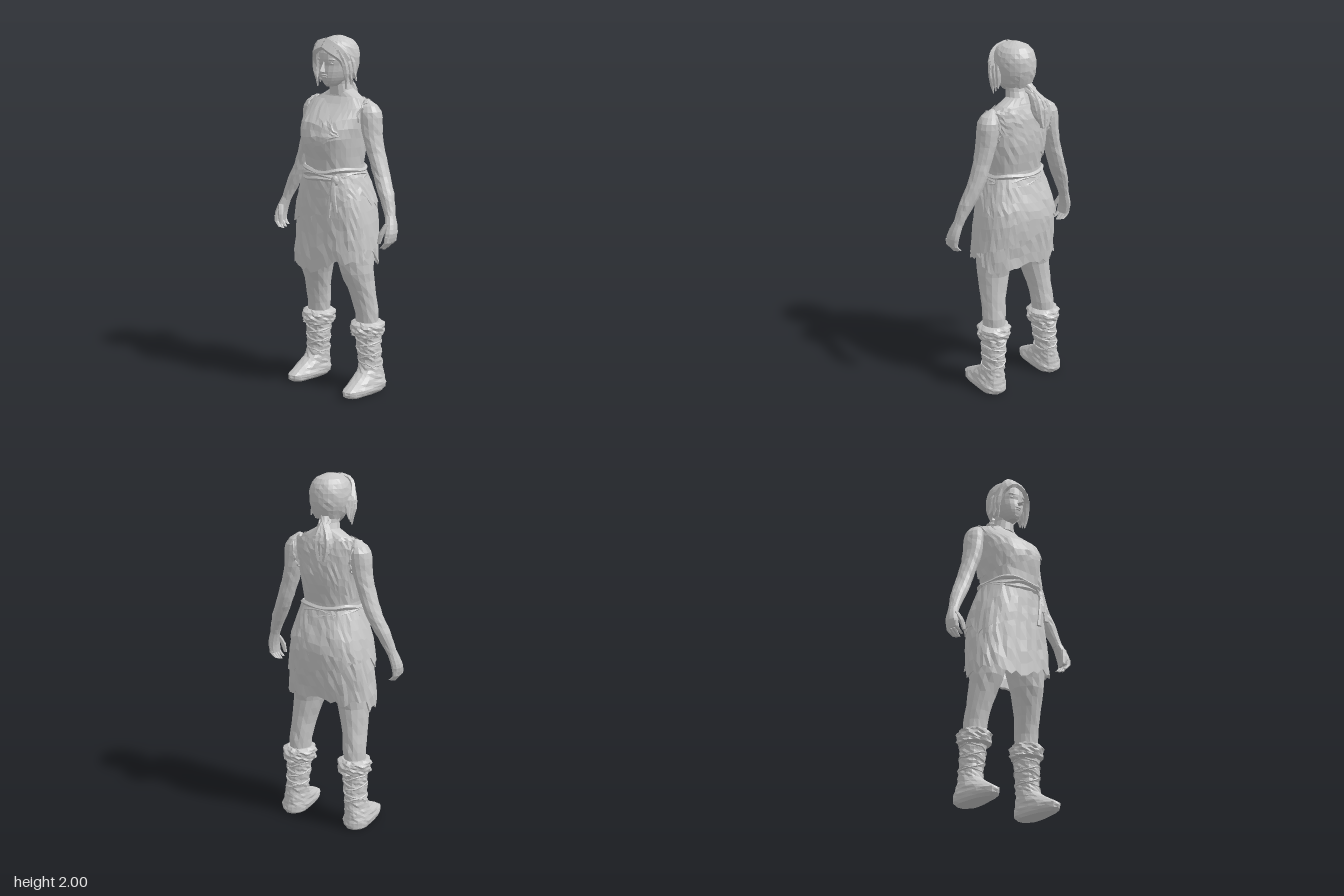
import * as THREE from 'three';

const grey = new THREE.MeshStandardMaterial({ color: 0xc6c6c6 });
grey.name = 'stone grey';
grey.side = THREE.DoubleSide;

// Repeatable noise in -1..1
const noise = (a, b = 0) => {
  const s = Math.sin(a * 127.1 + b * 311.7 + 4.3) * 43758.5453;
  return (s - Math.floor(s)) * 2 - 1;
};

// Cross-section at height y from rows [y, x, z, halfWidth, frontDepth, backDepth], listed top down
function sectionAt(rows, y) {
  let k = 0;
  while (k < rows.length - 2 && y < rows[k + 1][0]) k++;
  const a = rows[k], b = rows[k + 1];
  const t = THREE.MathUtils.clamp((a[0] - y) / (a[0] - b[0]), 0, 1);
  const at = (r, i) => r[i] ?? r[4] ?? r[3];
  return [1, 2, 3, 4, 5].map((i) => at(a, i) + (at(b, i) - at(a, i)) * t);
}

// Point on a body surface; angle 0 is the front, growing towards +x
function pointOn(rows, y, angle, offset = 0, power = 1) {
  const [x, z, w, f, b] = sectionAt(rows, y);
  const bend = (v) => Math.sign(v) * Math.abs(v) ** power;
  const s = bend(Math.sin(angle)), c = bend(Math.cos(angle));
  return new THREE.Vector3(x + (w + offset) * s, y, z + ((c > 0 ? f : b) + offset) * c);
}

// Faceted skin over the rows; top and bottom may be functions of the angle
function loft(name, rows, o = {}) {
  const { segs = 14, rings = 10, offset = 0, power = 1, rough = 0, from = 0, to = Math.PI * 2, cap = true, lip = 0 } = o;
  const topY = o.top ?? (() => rows[0][0]), botY = o.bottom ?? (() => rows[rows.length - 1][0]);
  const closed = to - from > 6.28, grid = [];
  for (let j = 0; j <= rings; j++) {
    const row = [];
    for (let i = 0; i <= segs; i++) {
      const n = closed ? i % segs : i;
      const angle = from + ((to - from) * n) / segs;
      const y = THREE.MathUtils.lerp(topY(angle, n), botY(angle, n), j / rings);
      row.push(pointOn(rows, y, angle, offset + rough * noise(n, j + rows.length), power));
    }
    grid.push(row);
  }
  const middle = (row) => {
    const m = new THREE.Vector3();
    row.slice(0, segs).forEach((p) => m.addScaledVector(p, 1 / segs));
    return row.map(() => m);
  };
  if (cap) { grid.unshift(middle(grid[0])); grid.push(middle(grid[grid.length - 1])); }
  // Torn hems turn inward for thickness
  if (lip) grid.push(grid[grid.length - 1].map((p) => new THREE.Vector3(p.x * (1 - lip), p.y + 0.008, p.z * (1 - lip))));
  const v = [];
  for (let j = 0; j < grid.length - 1; j++) for (let i = 0; i < segs; i++) {
    const a = grid[j][i], b = grid[j + 1][i], c = grid[j + 1][i + 1], d = grid[j][i + 1];
    for (const p of [a, b, c, a, c, d]) v.push(p.x, p.y, p.z);
  }
  const g = new THREE.BufferGeometry();
  g.setAttribute('position', new THREE.Float32BufferAttribute(v, 3));
  return part(name, g);
}

function part(name, geometry) {
  const g = geometry.index ? geometry.toNonIndexed() : geometry;
  g.computeVertexNormals();
  const mesh = new THREE.Mesh(g, grey);
  mesh.name = name;
  return mesh;
}

function tube(name, points, radius, closed = false, steps = 24) {
  return part(name, new THREE.TubeGeometry(new THREE.CatmullRomCurve3(points, closed), steps, radius, 5, closed));
}

function blob(name, pos, size) {
  const mesh = part(name, new THREE.IcosahedronGeometry(1, 1));
  mesh.position.set(...pos);
  mesh.scale.set(...size);
  return mesh;
}

const loop = (n, fn) => Array.from({ length: n }, (_, i) => fn((i / n) * Math.PI * 2, i));
const mirrored = (side, rows) => rows.map(([y, x, ...rest]) => [y, x * side, ...rest]);

const TORSO = [
  [1.71, 0, -0.045, 0.065, 0.055, 0.06], [1.685, 0, -0.045, 0.1, 0.06, 0.062], [1.655, 0, -0.04, 0.175, 0.07, 0.085],
  [1.6, 0, -0.02, 0.185, 0.11, 0.12], [1.54, 0, 0, 0.18, 0.155, 0.145], [1.47, 0, 0, 0.175, 0.188, 0.146],
  [1.42, 0, 0, 0.17, 0.186, 0.14], [1.34, 0, 0, 0.16, 0.165, 0.125], [1.27, 0, 0, 0.15, 0.16, 0.113], [1.18, 0, 0, 0.165, 0.155, 0.13],
];
const SKIRT = [
  [1.27, 0, 0, 0.155, 0.16, 0.118], [1.2, 0, 0, 0.181, 0.16, 0.143], [1.1, 0, 0, 0.214, 0.163, 0.175],
  [1.02, 0, 0, 0.229, 0.163, 0.182], [0.9, 0, 0, 0.246, 0.166, 0.168], [0.8, 0, 0, 0.259, 0.17, 0.15], [0.68, 0, 0, 0.261, 0.177, 0.145],
];

function addClothes(g) {
  g.add(loft('bodice', TORSO, {
    segs: 36, rings: 9, power: 0.88, rough: 0.003, offset: 0.004, cap: false,
    top: (a, n) => 1.668 - 0.05 * Math.max(0, Math.cos(a)) ** 8 + 0.005 * noise(n, 2),
    bottom: () => 1.2,
  }));
  // Wrapped upper layer: diagonal neck edge in front, torn edge sloping to the right side
  g.add(loft('crossWrap', TORSO, {
    segs: 44, rings: 7, power: 0.88, rough: 0.003, offset: 0.012, cap: false, lip: 0.05, from: -4.4, to: 0.8,
    top: (a, n) => 1.66 - 0.18 * Math.max(0, a + 0.2) + 0.005 * noise(n, 8),
    bottom: (a, n) => (Math.cos(a) > 0 ? 1.41 + 0.08 * Math.sin(a) : 1.45 + 0.12 * Math.sin(a)) + 0.01 * noise(n, 7),
  }));
  g.add(loft('underSkirt', SKIRT, {
    segs: 56, rings: 8, power: 0.8, rough: 0.005, cap: false, lip: 0.05,
    bottom: (a, n) => 0.755 + 0.05 * Math.sin(a) * (Math.cos(a) > -0.2) - 0.035 * Math.max(0, Math.cos(a)) ** 8
      + 0.014 * Math.sin(a * 5) + 0.02 * noise(n, 3),
  }));
  g.add(loft('middleSkirt', SKIRT, {
    segs: 30, rings: 6, power: 0.8, rough: 0.003, offset: 0.007, cap: false, lip: 0.04, from: 1.3, to: 4.4,
    bottom: (a, n) => 0.84 + 0.05 * (a - 1.3) + 0.012 * noise(n, 5),
  }));
  g.add(loft('overSkirt', SKIRT, {
    segs: 56, rings: 5, power: 0.8, rough: 0.004, offset: 0.014, cap: false, lip: 0.05,
    bottom: (a, n) => 1.04 + (Math.cos(a) > 0 ? 0.1 : 0.04) * Math.sin(a) + 0.016 * noise(n, 6),
  }));
  // Twisted rope belt, knot and hanging ends
  for (let k = 0; k < 3; k++) {
    g.add(tube('beltStrand', loop(20, (a, i) =>
      pointOn(TORSO, 1.235 + 0.023 * k + 0.008 * Math.sin(a * 4 + k * 2) + 0.003 * noise(i, k), a, 0.013, 0.88)), 0.014, true, 50));
  }
  g.add(blob('beltKnot', [0.115, 1.235, 0.15], [0.024, 0.03, 0.02]));
  [[0.085, 1.03], [0.14, 1.07], [0.12, 1.12]].forEach(([x, y]) => g.add(loft('beltEnd',
    [[1.24, 0.115, 0.158, 0.01], [(1.24 + y) / 2, (x + 0.11) / 2, 0.175, 0.014, 0.01], [y, x, 0.176, 0.016, 0.009]], { segs: 6, rings: 3 })));
}

function addHead(g) {
  g.add(loft('neck', [[1.8, 0, -0.015, 0.058], [1.74, 0, -0.03, 0.057], [1.68, 0, -0.045, 0.07]], { rings: 4 }));
  g.add(loft('face', [
    [1.96, 0, 0, 0.075, 0.085], [1.91, 0, 0, 0.085, 0.108], [1.87, 0, 0, 0.087, 0.11], [1.845, 0, 0, 0.085, 0.102], [1.81, 0, 0, 0.079, 0.106],
    [1.775, 0, 0.01, 0.064, 0.094, 0.08], [1.75, 0, 0.025, 0.046, 0.07], [1.73, 0, 0.04, 0.024, 0.04]], { segs: 20, rings: 14, power: 0.95 }));
  // Facial features
  const nose = part('nose', new THREE.ConeGeometry(0.02, 0.065, 4));
  nose.position.set(0, 1.842, 0.112);
  nose.rotation.x = -0.25;
  g.add(nose, blob('upperLip', [0, 1.793, 0.101], [0.023, 0.006, 0.01]), blob('lowerLip', [0, 1.782, 0.098], [0.019, 0.007, 0.01]));
  g.add(blob('chin', [0, 1.752, 0.08], [0.022, 0.018, 0.014]));
  for (const s of [-1, 1]) {
    g.add(blob('eye', [s * 0.036, 1.856, 0.088], [0.016, 0.008, 0.01]));
    const brow = blob('brow', [s * 0.038, 1.877, 0.093], [0.025, 0.008, 0.011]);
    brow.rotation.y = s * 0.3;
    g.add(brow, blob('ear', [s * 0.09, 1.835, -0.015], [0.014, 0.032, 0.02]));
    // Loose side locks
    for (let k = 0; k < 3; k++) {
      const z = 0.06 - k * 0.032;
      g.add(loft('sideLock', mirrored(s, [[1.93, 0.075, z + 0.015, 0.014, 0.02], [1.87, 0.104, z, 0.018, 0.022],
        [1.8, 0.109, z - 0.012, 0.014, 0.018], [1.72 + k * 0.02, 0.1 + k * 0.01, z - 0.02, 0.003]]), { segs: 6, rings: 5, rough: 0.002 }));
    }
    // Swept fringe in three overlapping bands, parted off centre
    for (let k = 0; k < 3; k++) g.add(tube('fringe',
      [[-0.012, 1.975 - k * 0.015, 0.068 + k * 0.014], [-0.012 + s * 0.05, 1.958 - k * 0.018, 0.078 + k * 0.012],
        [s * 0.088, 1.925 - k * 0.02, 0.066 + k * 0.004], [s * 0.106, 1.87 - k * 0.02, 0.03 + k * 0.008]]
        .map((p) => new THREE.Vector3(...p)), 0.017, false, 7));
  }
  g.add(loft('hair', [
    [2, 0, -0.015, 0.02], [1.99, 0, -0.015, 0.055, 0.06], [1.97, 0, -0.015, 0.084, 0.098], [1.94, 0, -0.015, 0.102, 0.12, 0.116],
    [1.9, 0, -0.015, 0.111, 0.13, 0.125], [1.85, 0, -0.015, 0.111, 0.12, 0.125], [1.8, 0, -0.015, 0.098, 0.1, 0.11], [1.75, 0, -0.03, 0.066, 0.07, 0.075]],
  { segs: 26, rings: 10, rough: 0.002, bottom: (a, n) => 1.765 + 0.175 * Math.max(0, Math.cos(a) + 0.15) ** 1.2 / 1.18 + 0.006 * noise(n, 1), cap: false }));
  g.add(blob('hairCrown', [0, 1.975, -0.015], [0.06, 0.024, 0.065]));
  // Ponytail with its tie and strands
  const tie = part('ponytailTie', new THREE.TorusGeometry(0.026, 0.012, 5, 10));
  tie.position.set(-0.025, 1.752, -0.118);
  tie.rotation.x = 1.0;
  g.add(tie, loft('ponytail', [[1.785, -0.015, -0.1, 0.025], [1.75, -0.025, -0.12, 0.024], [1.72, -0.04, -0.148, 0.044, 0.036],
    [1.66, -0.052, -0.166, 0.054, 0.04], [1.61, -0.055, -0.176, 0.046, 0.034], [1.55, -0.055, -0.193, 0.008]], { segs: 12, rings: 9, rough: 0.004 }));
  for (let k = -1; k <= 1; k++) g.add(tube('ponytailStrand',
    [[-0.025, 1.75, -0.135], [-0.05 + k * 0.028, 1.69, -0.186], [-0.055 + k * 0.03, 1.62, -0.198], [-0.055 + k * 0.015, 1.56, -0.198]]
      .map((p) => new THREE.Vector3(...p)), 0.013, false, 8));
}

function addArm(g, s) {
  g.add(loft('arm', mirrored(s, [
    [1.662, 0.178, -0.045, 0.012], [1.645, 0.19, -0.045, 0.036, 0.04], [1.61, 0.202, -0.045, 0.056, 0.062], [1.56, 0.205, -0.045, 0.063, 0.068],
    [1.48, 0.218, -0.042, 0.052, 0.064], [1.4, 0.239, -0.042, 0.047, 0.058], [1.3, 0.273, -0.042, 0.046, 0.052], [1.24, 0.296, -0.036, 0.046, 0.05],
    [1.16, 0.335, -0.021, 0.043, 0.045], [1.08, 0.368, -0.006, 0.032, 0.034], [1.04, 0.382, 0.002, 0.028, 0.031]]), { segs: 14, rings: 20, rough: 0.002 }));
  g.add(loft('hand', mirrored(s, [[1.06, 0.378, -0.001, 0.028, 0.031], [1.0, 0.398, 0.013, 0.028, 0.042], [0.96, 0.405, 0.023, 0.026, 0.047],
    [0.92, 0.4, 0.03, 0.018, 0.043]]), { segs: 10, rings: 6 }));
  for (let k = 0; k < 4; k++) {
    const z = 0.063 - k * 0.023, end = 0.874 + Math.abs(k - 1.2) * 0.01;
    g.add(loft('finger', mirrored(s, [[0.95, 0.406, z, 0.013], [0.915, 0.403, z + 0.002, 0.0125], [end, 0.373, z + 0.005, 0.009]]), { segs: 6, rings: 4 }));
  }
  g.add(loft('thumb', mirrored(s, [[1.015, 0.39, 0.042, 0.016], [0.97, 0.372, 0.064, 0.016], [0.91, 0.36, 0.073, 0.01]]), { segs: 6, rings: 4 }));
  // Frayed armhole edge
  g.add(tube('armholeEdge', loop(24, (a, i) => new THREE.Vector3(
    s * (0.18 + 0.012 * Math.cos(a) + 0.008 * noise(i, 4)), 1.56 + 0.092 * Math.cos(a), -0.038 + (0.074 + 0.004 * noise(i, 9)) * Math.sin(a))), 0.006, true, 48));
}

function addLeg(g, s) {
  g.add(loft('leg', mirrored(s, [
    [1.05, 0.09, 0, 0.085, 0.11, 0.14], [0.8, 0.133, 0, 0.1, 0.115, 0.12], [0.7, 0.146, 0, 0.09, 0.095, 0.103], [0.6, 0.163, -0.02, 0.074, 0.074, 0.086],
    [0.54, 0.171, -0.032, 0.068, 0.068, 0.076], [0.47, 0.178, -0.047, 0.067, 0.062, 0.072], [0.36, 0.183, -0.05, 0.061, 0.058, 0.075]]),
  { segs: 16, rings: 14, rough: 0.003 }));
  // Boot with the toe reaching forward
  const boot = mirrored(s, [
    [0.36, 0.185, -0.055, 0.066, 0.074, 0.082], [0.25, 0.19, -0.055, 0.063, 0.07, 0.08], [0.17, 0.196, -0.062, 0.06, 0.067, 0.076],
    [0.13, 0.2, -0.062, 0.061, 0.082, 0.077], [0.1, 0.203, -0.062, 0.066, 0.125, 0.082], [0.07, 0.206, -0.062, 0.072, 0.19, 0.086],
    [0.045, 0.207, -0.062, 0.077, 0.232, 0.09], [0.018, 0.207, -0.062, 0.075, 0.236, 0.09], [0, 0.207, -0.062, 0.056, 0.2, 0.076]]);
  g.add(loft('boot', boot, { segs: 20, rings: 24, rough: 0.004, power: 0.95 }));
  g.add(loft('furCuff', mirrored(s, [[0.41, 0.183, -0.055, 0.07, 0.078], [0.395, 0.183, -0.055, 0.092, 0.098], [0.36, 0.183, -0.055, 0.094, 0.1],
    [0.33, 0.183, -0.055, 0.088, 0.094], [0.32, 0.183, -0.055, 0.066, 0.074]]), { segs: 26, rings: 7, rough: 0.008 }));
  // Criss-cross straps
  [0.3, 0.27, 0.24, 0.205, 0.175].forEach((y, k) => g.add(tube('bootStrap', loop(14, (a, i) =>
    pointOn(boot, y + (k % 2 ? 0.02 : -0.02) * Math.sin(a) + 0.005 * noise(i, k), a, 0.001)), 0.006, true, 28)));
}

export function createModel() {
  const model = new THREE.Group();
  model.name = 'standingFigure';
  const section = (name, build, ...args) => {
    const g = new THREE.Group();
    g.name = name;
    build(g, ...args);
    model.add(g);
  };
  section('torso', (g) => g.add(loft('body', TORSO, { segs: 20, rings: 14, power: 0.88, offset: -0.004 })));
  section('clothes', addClothes);
  section('head', addHead);
  for (const s of [1, -1]) {
    const side = s > 0 ? 'left' : 'right';
    section(side + 'Arm', addArm, s);
    section(side + 'Leg', addLeg, s);
  }
  return model;
}
